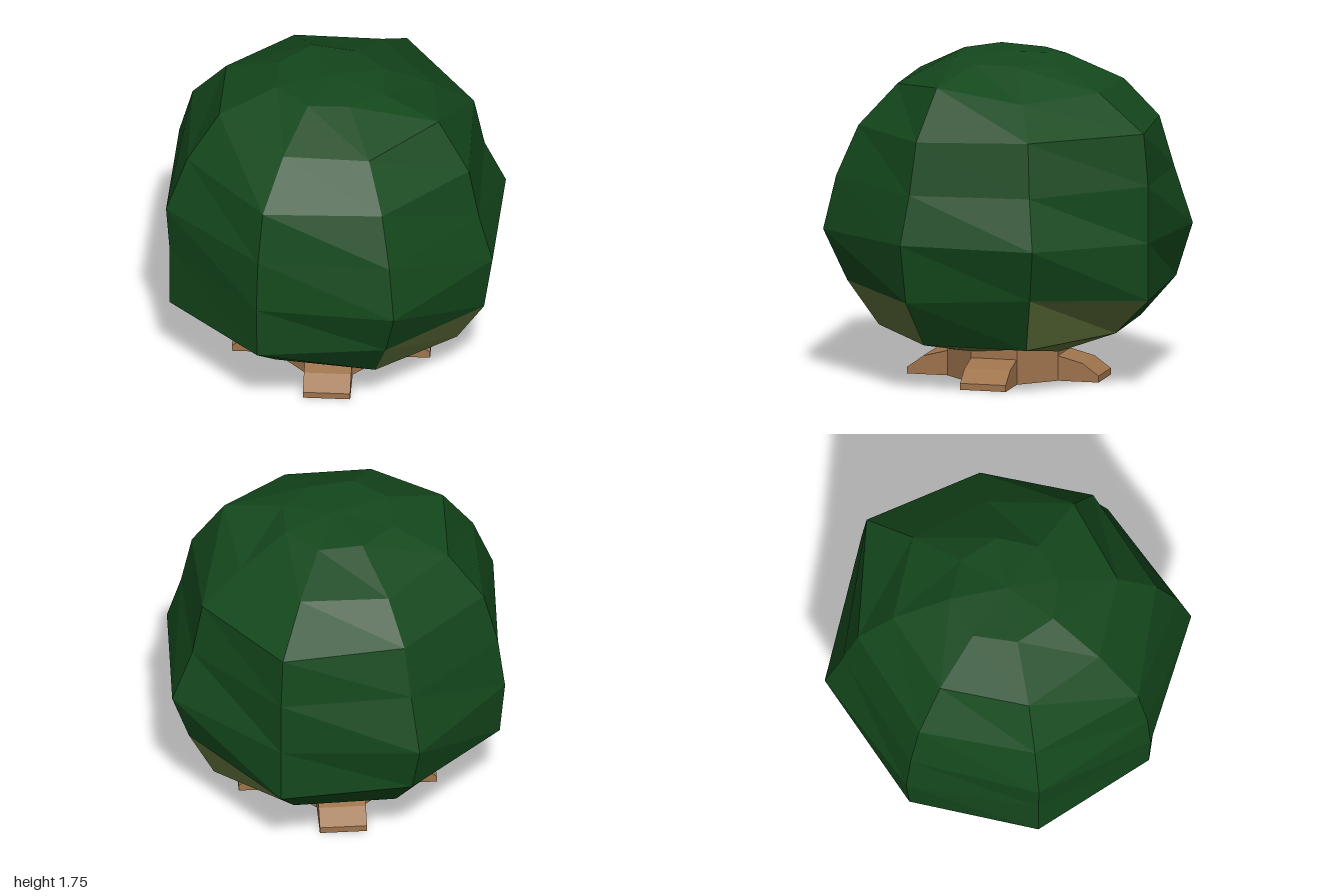
import * as THREE from 'three';

// Eight columns of the crown, counter-clockwise from +z; each runs top to bottom.
const RADII = [
  [0.28, 0.60, 0.81, 0.93, 1.00, 0.87, 0.70, 0.33],
  [0.30, 0.63, 0.81, 0.87, 0.95, 0.90, 0.74, 0.33],
  [0.30, 0.57, 0.80, 0.86, 0.98, 0.88, 0.73, 0.33],
  [0.30, 0.61, 0.91, 0.94, 0.94, 0.94, 0.72, 0.34],
  [0.31, 0.62, 0.81, 0.89, 0.99, 0.90, 0.71, 0.33],
  [0.32, 0.63, 0.83, 0.91, 0.95, 0.92, 0.71, 0.33],
  [0.31, 0.64, 0.82, 0.94, 0.92, 0.92, 0.73, 0.31],
  [0.30, 0.60, 0.85, 0.91, 0.93, 0.92, 0.70, 0.33],
];
const HEIGHTS = [
  [1.73, 1.59, 1.37, 1.10, 0.81, 0.53, 0.285, 0.145],
  [1.72, 1.64, 1.37, 1.09, 0.83, 0.51, 0.26, 0.17],
  [1.72, 1.56, 1.39, 1.10, 0.83, 0.55, 0.255, 0.19],
  [1.71, 1.59, 1.40, 1.12, 0.81, 0.50, 0.30, 0.16],
  [1.735, 1.59, 1.385, 1.11, 0.80, 0.515, 0.305, 0.165],
  [1.73, 1.61, 1.38, 1.10, 0.81, 0.50, 0.30, 0.17],
  [1.745, 1.64, 1.39, 1.09, 0.82, 0.47, 0.30, 0.18],
  [1.74, 1.60, 1.38, 1.10, 0.80, 0.50, 0.33, 0.17],
];

const SIDES = 8;
const RINGS = 8;
const flat = (color) => new THREE.MeshStandardMaterial({ color, flatShading: true });

// Ring 0 is the top pole, ring 9 the bottom pole
function crownPoint(column, ring) {
  if (ring === 0) return [0, 1.75, 0];
  if (ring > RINGS) return [0, 0.13, 0];
  const k = column % SIDES;
  const a = (k / SIDES) * Math.PI * 2;
  const r = RADII[k][ring - 1];
  return [r * Math.sin(a), HEIGHTS[k][ring - 1], r * Math.cos(a)];
}

// Faceted surface of every crown panel accepted by the filter
function crownGeometry(accept) {
  const pos = [];
  for (let ring = 0; ring <= RINGS; ring++) {
    for (let k = 0; k < SIDES; k++) {
      if (!accept(ring, k)) continue;
      const a = crownPoint(k, ring), b = crownPoint(k, ring + 1);
      const c = crownPoint(k + 1, ring + 1), d = crownPoint(k + 1, ring);
      if (ring < RINGS) pos.push(...a, ...b, ...c);
      if (ring > 0) pos.push(...a, ...(ring < RINGS ? c : b), ...d);
    }
  }
  const g = new THREE.BufferGeometry();
  g.setAttribute('position', new THREE.Float32BufferAttribute(pos, 3));
  g.computeVertexNormals();
  return g;
}

export function createModel() {
  const model = new THREE.Group();
  model.name = 'bush';
  const add = (name, geometry, material) => {
    const mesh = new THREE.Mesh(geometry, material);
    mesh.name = name;
    model.add(mesh);
    return mesh;
  };

  // Crown: green above, olive below, with alternating panels where they meet
  const isOlive = (ring, k) => ring >= 7 || (ring === 6 && k % 2 === 0);
  add('foliage', crownGeometry((r, k) => !isOlive(r, k)), flat(0x14481c));
  add('foliageUnderside', crownGeometry(isOlive), flat(0x5f703a));

  // Short eight-sided trunk
  const wood = flat(0x9f744d);
  const trunkRadius = 0.33;
  const trunkHeight = 0.2;
  add('trunk', new THREE.CylinderGeometry(trunkRadius, trunkRadius, trunkHeight, SIDES), wood)
    .position.y = trunkHeight / 2;

  // Four stubby roots growing from every other trunk side
  const width = 2 * trunkRadius * Math.sin(Math.PI / SIDES);
  const profile = new THREE.Shape([
    [0.25, 0], [0.53, 0], [0.53, 0.035], [0.44, 0.10], [0.305, 0.135], [0.25, 0.135],
  ].map(([x, y]) => new THREE.Vector2(x, y)));
  const rootGeometry = new THREE.ExtrudeGeometry(profile, { depth: width, bevelEnabled: false });
  rootGeometry.translate(0, 0, -width / 2);
  for (let i = 0; i < 4; i++) {
    add('root', rootGeometry, wood).rotation.y = -Math.PI / 8 + (i * Math.PI) / 2;
  }

  model.position.set(-0.02, 0, -0.01);
  return model;
}
